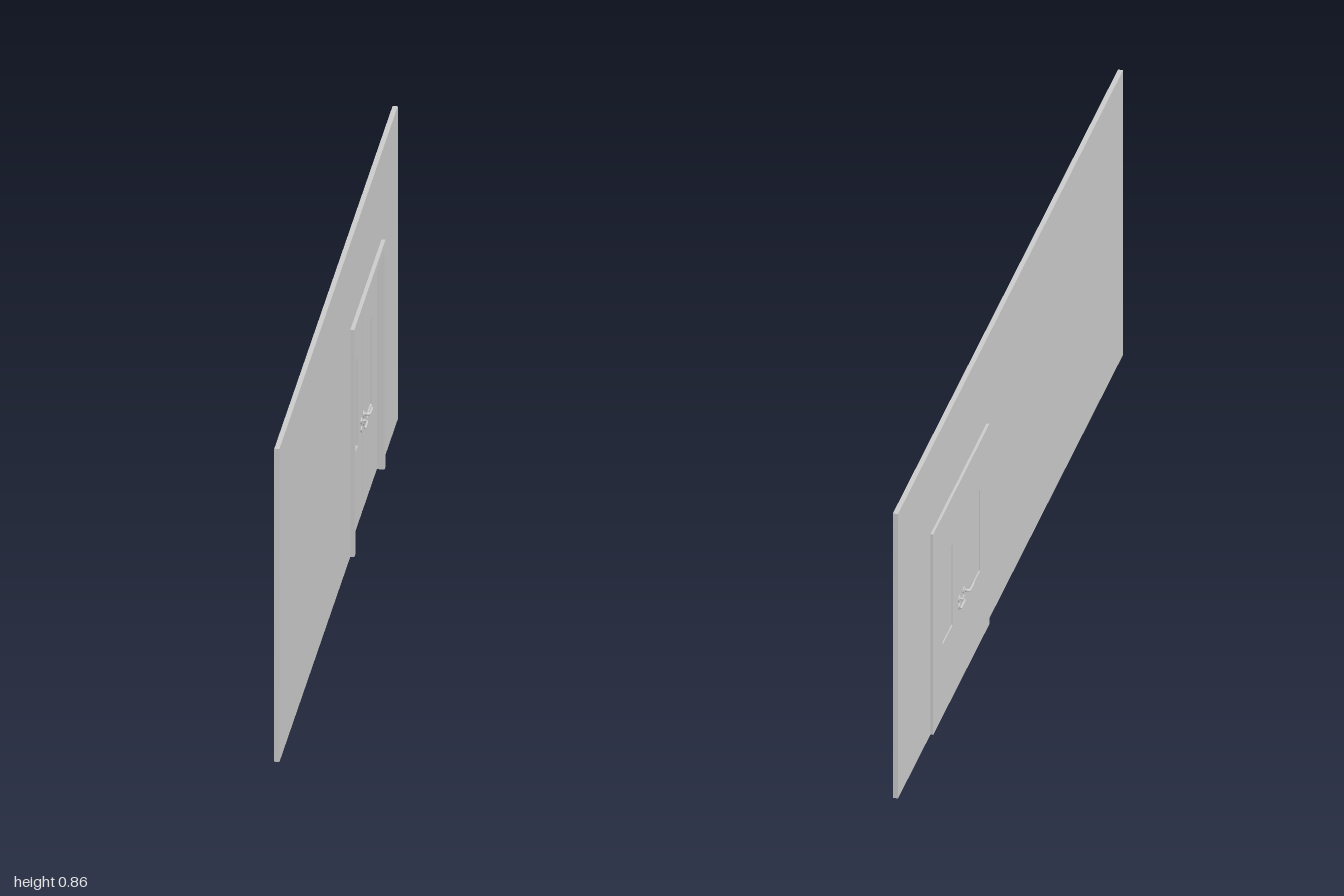
import * as THREE from 'three';

const MID = 0.4615;            // centre of the doorway, measured along -z
const HALF = 0.2495;           // half width of the wall opening
const OPEN_TOP = 0.602;
const BACK = -0.007, FACE = 0.004; // door leaf faces along x

export function createModel() {
  const model = new THREE.Group();
  const grey = new THREE.MeshStandardMaterial({ color: 0xcccccc });

  const add = (name, geometry, parent = model) => {
    const mesh = new THREE.Mesh(geometry, grey);
    mesh.name = name;
    parent.add(mesh);
    return mesh;
  };

  // Outline in (u = -z, y), extruded along x from x0 to x1
  const slab = (shape, x0, x1) =>
    new THREE.ExtrudeGeometry(shape, { depth: x1 - x0, bevelEnabled: false })
      .rotateY(Math.PI / 2).translate(x0, 0, 0);
  const polygon = (pts) => new THREE.Shape(pts.map(([u, y]) => new THREE.Vector2(u, y)));
  const rect = (u0, u1, y0, y1) => polygon([[u0, y0], [u1, y0], [u1, y1], [u0, y1]]);
  // Upside-down U around the doorway
  const surround = (outer, top, inner, innerTop) => polygon([
    [MID - outer, 0], [MID - inner, 0], [MID - inner, innerTop], [MID + inner, innerTop],
    [MID + inner, 0], [MID + outer, 0], [MID + outer, top], [MID - outer, top],
  ]);

  // Wall with the doorway cut out
  add('wall', slab(polygon([
    [-1, 0], [MID - HALF, 0], [MID - HALF, OPEN_TOP], [MID + HALF, OPEN_TOP],
    [MID + HALF, 0], [1, 0], [1, 0.855], [-1, 0.855],
  ]), 0, 0.013));

  // Door frame: raised trim and the lining inside the opening
  const frame = new THREE.Group();
  frame.name = 'doorFrame';
  model.add(frame);
  add('trim', slab(surround(0.2635, 0.62, 0.2465, 0.6), 0.013, 0.023), frame);
  add('lining', slab(surround(HALF, OPEN_TOP, 0.2465, 0.6), FACE, 0.013), frame);

  // Lever handle: rose, curved lever and key escutcheon; side is the door side, dir the lever direction in u
  const handle = (leaf, side, dir) => {
    const group = new THREE.Group();
    group.name = side > 0 ? 'frontHandle' : 'backHandle';
    const x = side > 0 ? FACE : BACK;
    const u = MID + dir * 0.02;
    const disc = (name, y, r) => add(name, new THREE.CylinderGeometry(r, r, 0.003, 24)
      .rotateZ(Math.PI / 2).translate(x + side * 0.0015, y, -u), group);
    disc('rose', 0.257, 0.009);
    disc('keyEscutcheon', 0.234, 0.008);
    add('keyhole', new THREE.BoxGeometry(0.001, 0.007, 0.002)
      .translate(x + side * 0.0033, 0.234, -u), group);
    const at = (out, along) => new THREE.Vector3(x + side * out, 0.257, -(u + dir * along));
    const path = new THREE.CurvePath();
    path.add(new THREE.LineCurve3(at(0, 0), at(0.009, 0)));
    path.add(new THREE.QuadraticBezierCurve3(at(0.009, 0), at(0.0155, 0), at(0.0155, 0.007)));
    path.add(new THREE.LineCurve3(at(0.0155, 0.007), at(0.0155, 0.036)));
    add('lever', new THREE.TubeGeometry(path, 32, 0.0035, 12), group);
    add('leverTip', new THREE.SphereGeometry(0.0035, 12, 8).translate(...at(0.0155, 0.036).toArray()), group);
    leaf.add(group);
  };

  // Two door leaves mirrored about the meeting line
  for (const dir of [-1, 1]) {
    const leaf = new THREE.Group();
    leaf.name = dir < 0 ? 'leftDoor' : 'rightDoor';
    model.add(leaf);
    const span = (a, b, y0, y1) => {
      const [p, q] = [MID + dir * a, MID + dir * b].sort((m, n) => m - n);
      return rect(p, q, y0, y1);
    };
    const panel = span(0.001, HALF, 0, OPEN_TOP);
    panel.holes.push(span(0.076, 0.168, 0.215, 0.46));
    add('doorPanel', slab(panel, BACK, FACE), leaf);
    add('windowPane', slab(span(0.076, 0.168, 0.215, 0.46), -0.0035, -0.0015), leaf);
    handle(leaf, 1, dir);
    handle(leaf, -1, dir);
  }

  // Strip closing the seam between the leaves, flush with the back
  add('meetingStrip', slab(rect(MID - 0.001, MID + 0.001, 0, OPEN_TOP), BACK, -0.002));

  return model;
}
